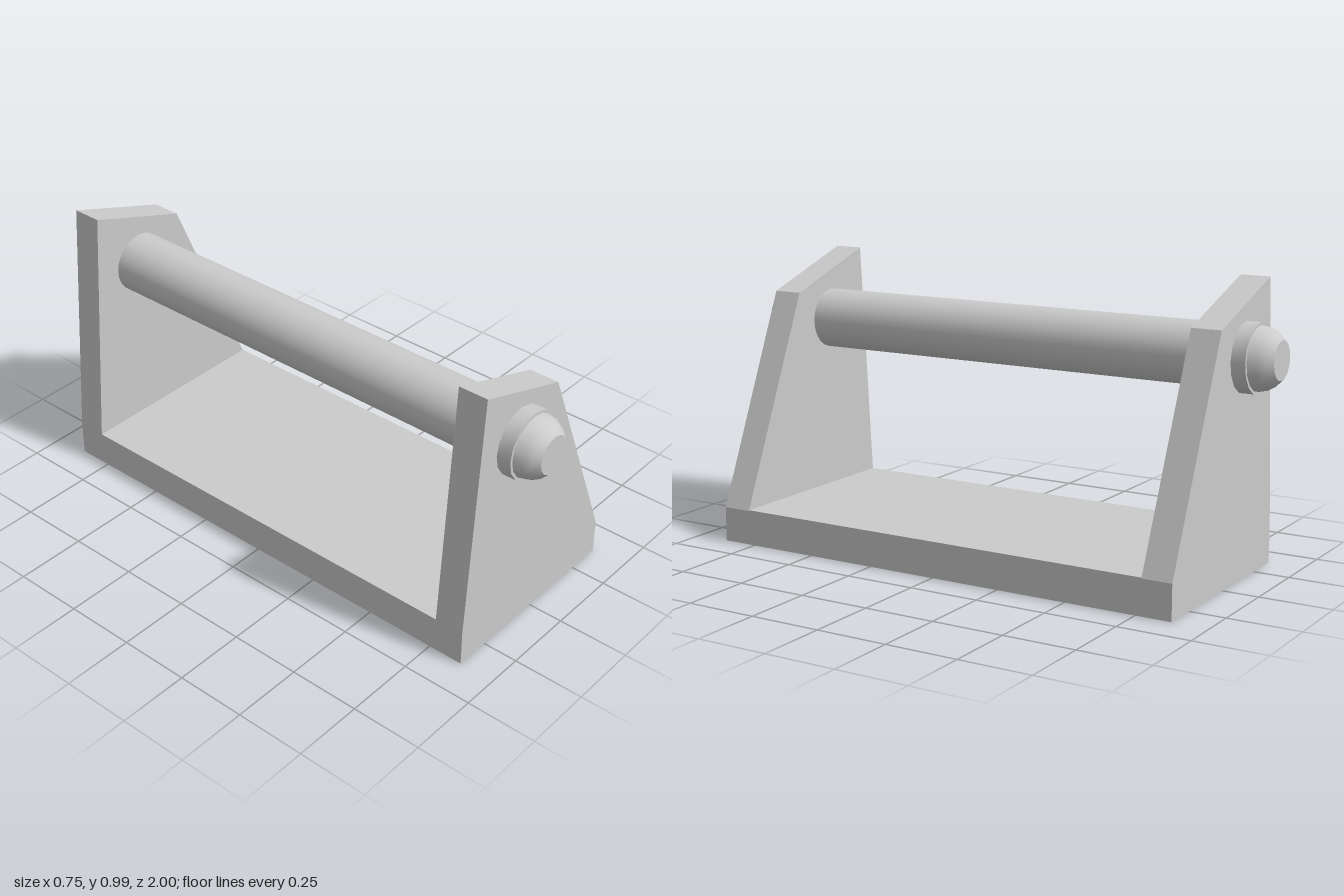
import * as THREE from 'three';
import { toCreasedNormals } from 'three/addons/utils/BufferGeometryUtils.js';

const AXLE_X = -0.13, AXLE_Y = 0.745;
const PLATE_IN = 0.77, PLATE_OUT = 0.875;

export function createModel() {
  const group = new THREE.Group();
  const material = new THREE.MeshStandardMaterial({ color: 0xcccccc });
  const add = (name, geometry, x = 0, y = 0, z = 0) => {
    const mesh = new THREE.Mesh(geometry, material);
    mesh.name = name;
    mesh.position.set(x, y, z);
    group.add(mesh);
  };

  // Base slab between the two side plates
  add('base', new THREE.BoxGeometry(0.75, 0.125, 2 * PLATE_IN), 0, 0.0625, 0);

  // Sloped side plates
  const outline = new THREE.Shape([
    [-0.375, 0], [0.375, 0], [0.375, 0.122], [0.06, 0.857], [-0.312, 0.985], [-0.375, 0.125],
  ].map(([x, y]) => new THREE.Vector2(x, y)));
  const plate = new THREE.ExtrudeGeometry(outline, { depth: PLATE_OUT - PLATE_IN, bevelEnabled: false });
  add('frontPlate', plate, 0, 0, PLATE_IN);
  add('backPlate', plate, 0, 0, -PLATE_OUT);

  // Round bar joining the plates
  const bar = new THREE.CylinderGeometry(0.106, 0.106, 2 * PLATE_IN, 32);
  bar.rotateX(Math.PI / 2);
  add('bar', bar, AXLE_X, AXLE_Y, 0);

  // Collar with a domed, flat-ended cap, one at each end
  const profile = [
    [0, 0.87], [0.118, 0.87], [0.118, 0.925], [0.108, 0.925],
    [0.101, 0.955], [0.087, 0.98], [0.066, 1], [0, 1],
  ].map(([r, y]) => new THREE.Vector2(r, y));
  for (const [name, side] of [['frontEndCap', 1], ['backEndCap', -1]]) {
    const cap = toCreasedNormals(new THREE.LatheGeometry(profile, 16), 0.6);
    cap.rotateX(side * Math.PI / 2);
    add(name, cap, AXLE_X, AXLE_Y, 0);
  }

  return group;
}
